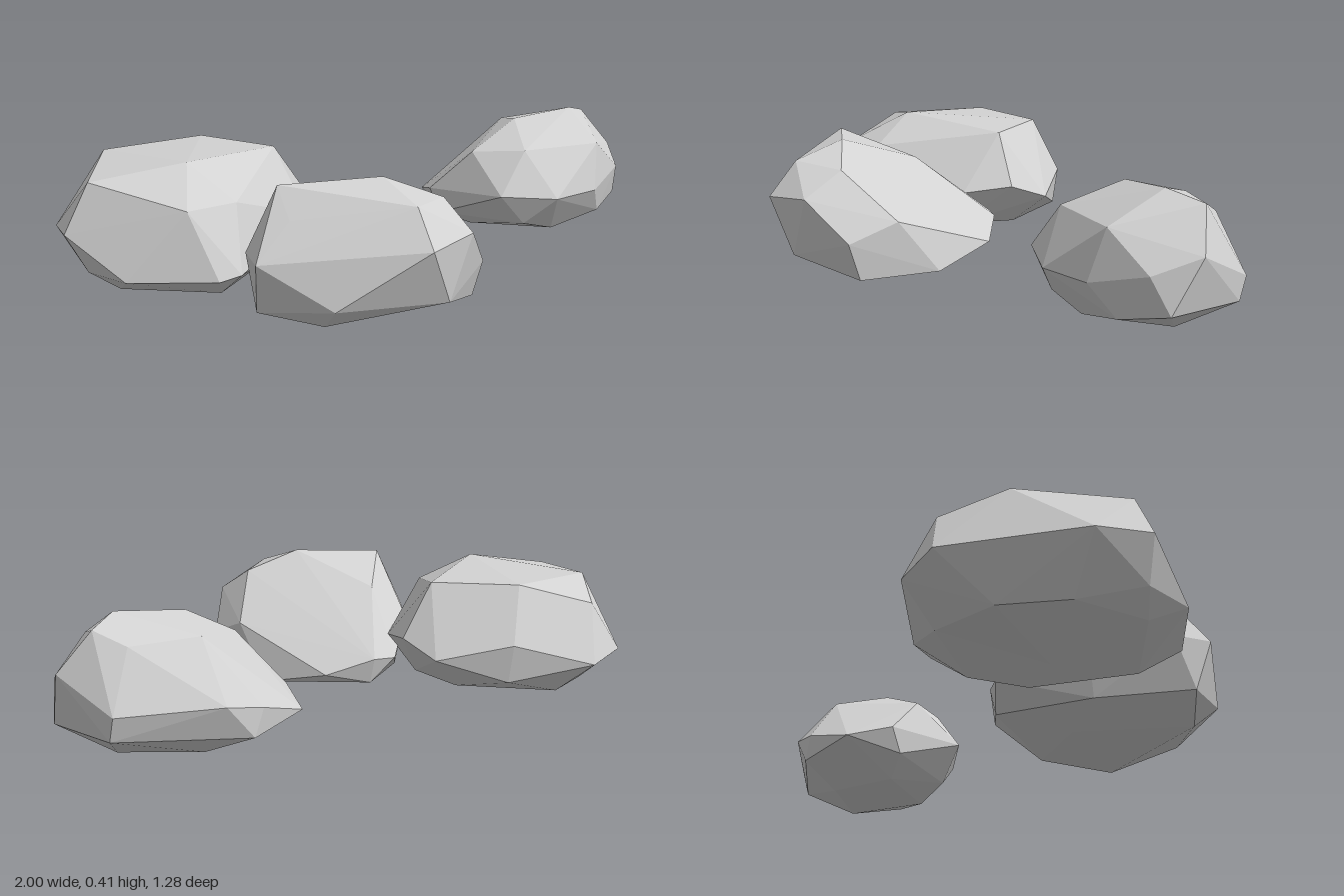
import * as THREE from 'three';
import { ConvexGeometry } from 'three/addons/geometries/ConvexGeometry.js';

// Corner points [x, y, z] of each faceted rock: crown, girdle, base
const BACK_ROCK = [
  [-0.64, 0.405, -0.04], [-0.92, 0.36, -0.12], [-0.78, 0.375, -0.42], [-0.65, 0.31, -0.57],
  [-0.44, 0.375, -0.45], [-0.28, 0.37, -0.22], [-0.71, 0.31, 0.14], [-0.55, 0.31, 0.12],
  [-0.59, 0.13, -0.64], [-0.73, 0.16, -0.62], [-0.98, 0.19, -0.29], [-1, 0.21, -0.12],
  [-0.88, 0.1, 0.07], [-0.94, 0.09, -0.1], [-0.65, 0.11, 0.22], [-0.58, 0.12, 0.22],
  [-0.24, 0.18, -0.06], [-0.17, 0.2, -0.21], [-0.18, 0.15, -0.35], [-0.36, 0.2, -0.51],
  [-0.36, 0.08, -0.49], [-0.86, 0.04, -0.28], [-0.86, 0.04, -0.05], [-0.58, 0, -0.18],
  [-0.55, 0.03, -0.52], [-0.75, 0.03, -0.45], [-0.32, 0.04, -0.3], [-0.6, 0.03, 0.1],
  [-0.33, 0.05, -0.1],
];
const FRONT_ROCK = [
  [-0.49, 0.395, 0.28], [-0.21, 0.41, 0.39], [-0.05, 0.345, 0.46], [-0.19, 0.36, 0.555],
  [-0.3, 0.31, 0.09], [-0.49, 0.31, 0.36],
  [-0.19, 0.255, 0.645], [-0.03, 0.27, 0.59], [-0.6, 0.2, 0.37],
  [-0.58, 0.2, 0.25], [-0.42, 0.2, 0.05], [-0.2, 0.12, -0.14], [-0.13, 0.12, -0.12],
  [0, 0.07, -0.03], [0.08, 0.195, 0.33], [0.07, 0.14, 0.49],
  [-0.43, 0.08, 0.52], [-0.11, 0.08, 0.6], [-0.58, 0.04, 0.32], [0.08, 0.02, 0.19],
  [0.06, 0.02, 0.45], [-0.42, 0.005, 0.43], [-0.2, 0.005, 0.13], [-0.13, 0.04, -0.1],
  [-0.4, 0.03, 0.08],
];
const SIDE_ROCK = [
  [0.82, 0.4, -0.12], [0.6, 0.38, -0.14], [0.92, 0.37, -0.18], [0.86, 0.33, -0.26],
  [0.66, 0.34, -0.31], [0.81, 0.31, 0.06], [0.53, 0.31, 0.03], [0.41, 0.29, -0.11],
  [0.78, 0.155, 0.1], [0.6, 0.155, 0.13], [0.42, 0.17, 0.06], [0.94, 0.2, 0.01],
  [1, 0.25, -0.12], [0.97, 0.09, -0.04], [0.94, 0.09, -0.29], [0.94, 0.16, -0.31],
  [0.55, 0.15, -0.44], [0.67, 0.17, -0.44], [0.58, 0.07, -0.44], [0.37, 0.1, -0.38],
  [0.32, 0.14, -0.24], [0.34, 0.06, -0.2], [0.45, 0.01, -0.18], [0.84, 0.01, -0.15],
  [0.52, 0.06, 0.05], [0.84, 0.06, 0.04], [0.65, 0.02, 0.03], [0.65, 0.01, -0.3],
];

export function createModel() {
  const group = new THREE.Group();
  group.name = 'rocks';
  const stone = new THREE.MeshStandardMaterial({ color: 0xd2d2d2 });
  stone.name = 'grey stone';

  // Each rock is the faceted hull of its corners
  const rocks = { backRock: BACK_ROCK, frontRock: FRONT_ROCK, sideRock: SIDE_ROCK };
  for (const [name, corners] of Object.entries(rocks)) {
    const points = corners.map((c) => new THREE.Vector3(...c));
    const rock = new THREE.Mesh(new ConvexGeometry(points), stone);
    rock.name = name;
    group.add(rock);
  }
  return group;
}
